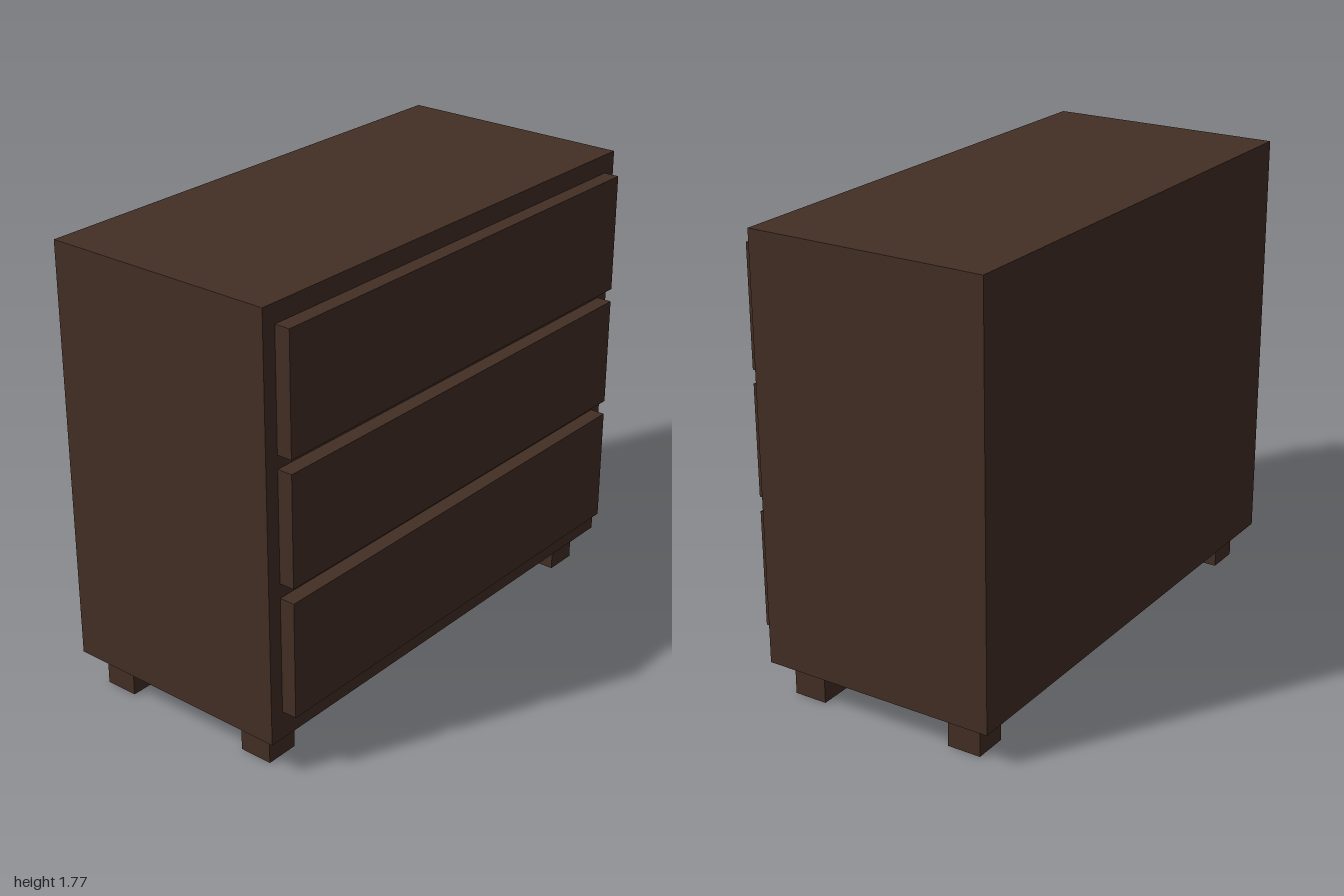
import * as THREE from 'three';

export function createModel() {
  const wood = new THREE.MeshStandardMaterial({ color: 0x432e24 });
  wood.name = 'dark wood';
  const model = new THREE.Group();
  model.name = 'chestOfDrawers';

  // Box given by its minimum and maximum corners
  const box = (name, [x0, y0, z0], [x1, y1, z1]) => {
    const mesh = new THREE.Mesh(new THREE.BoxGeometry(x1 - x0, y1 - y0, z1 - z0), wood);
    mesh.position.set((x0 + x1) / 2, (y0 + y1) / 2, (z0 + z1) / 2);
    mesh.name = name;
    model.add(mesh);
  };

  // Cabinet body
  box('cabinet', [-1, 0.135, -0.5], [1, 1.77, 0.44]);

  // Three drawer fronts standing proud of the body
  const drawers = [
    ['bottomDrawer', 0.245, 0.7],
    ['middleDrawer', 0.757, 1.186],
    ['topDrawer', 1.238, 1.697],
  ];
  for (const [name, y0, y1] of drawers) box(name, [-0.943, y0, 0.44], [0.943, y1, 0.5]);

  // Four square feet
  for (const [side, x] of [['left', 0.81], ['right', -0.943]]) {
    box(`${side}FrontFoot`, [x, 0, 0.242], [x + 0.133, 0.135, 0.375]);
    box(`${side}BackFoot`, [x, 0, -0.432], [x + 0.133, 0.135, -0.299]);
  }

  return model;
}
